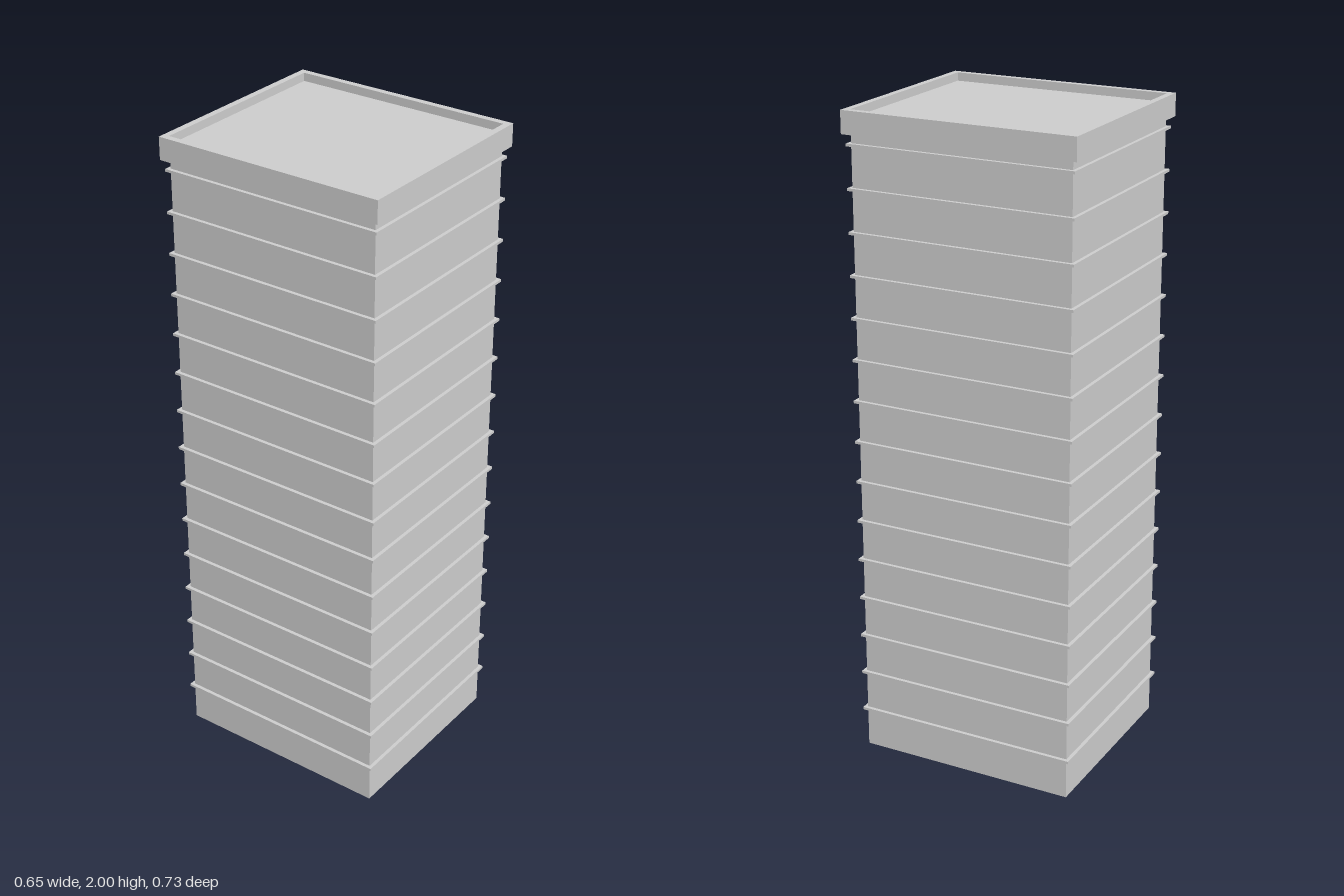
import * as THREE from 'three';

const HALF_X = 0.305, HALF_Z = 0.343;   // tower wall half sizes
const FLOORS = 15, STOREY = 0.1268;
const LEDGE_OUT = 0.011, LEDGE_HALF = 0.004;
const CAP_OUT = 0.02, CAP_BOTTOM = 1.932, ROOF_Y = 1.975, TOP = 2;

const material = new THREE.MeshStandardMaterial({
  color: 0xcccccc, flatShading: true, side: THREE.DoubleSide,
});

// Skins a stack of rectangles; each profile point is [outset from the wall, y]
function rectangularLoft(name, profile) {
  const ring = ([o, y]) => {
    const x = HALF_X + o, z = HALF_Z + o;
    return [[x, y, z], [x, y, -z], [-x, y, -z], [-x, y, z]];
  };
  const positions = [];
  for (let i = 0; i < profile.length - 1; i++) {
    const a = ring(profile[i]), b = ring(profile[i + 1]);
    for (let k = 0; k < 4; k++) {
      const n = (k + 1) % 4;
      for (const p of [a[k], a[n], b[n], a[k], b[n], b[k]]) positions.push(...p);
    }
  }
  const geometry = new THREE.BufferGeometry();
  geometry.setAttribute('position', new THREE.Float32BufferAttribute(positions, 3));
  geometry.computeVertexNormals();
  const mesh = new THREE.Mesh(geometry, material);
  mesh.name = name;
  return mesh;
}

export function createModel() {
  const tower = new THREE.Group();
  tower.name = 'tower';

  // Hollow walls, open at the bottom, folded outward into a thin ledge at each floor
  const wall = [[0, 0]];
  for (let i = 1; i <= FLOORS; i++) {
    const y = i * STOREY - 0.001;
    wall.push([0, y - LEDGE_HALF], [LEDGE_OUT, y - LEDGE_HALF],
      [LEDGE_OUT, y + LEDGE_HALF], [0, y + LEDGE_HALF]);
  }
  wall.push([0, CAP_BOTTOM]);
  tower.add(rectangularLoft('wallsWithLedges', wall));

  // Overhanging parapet: soffit, outer face, rim and inner face
  tower.add(rectangularLoft('parapet', [
    [0, CAP_BOTTOM], [CAP_OUT, CAP_BOTTOM], [CAP_OUT, TOP], [0, TOP], [0, ROOF_Y],
  ]));

  // Sunken flat roof
  const roof = new THREE.Mesh(new THREE.PlaneGeometry(HALF_X * 2, HALF_Z * 2), material);
  roof.name = 'roof';
  roof.rotation.x = -Math.PI / 2;
  roof.position.y = ROOF_Y;
  tower.add(roof);

  return tower;
}
